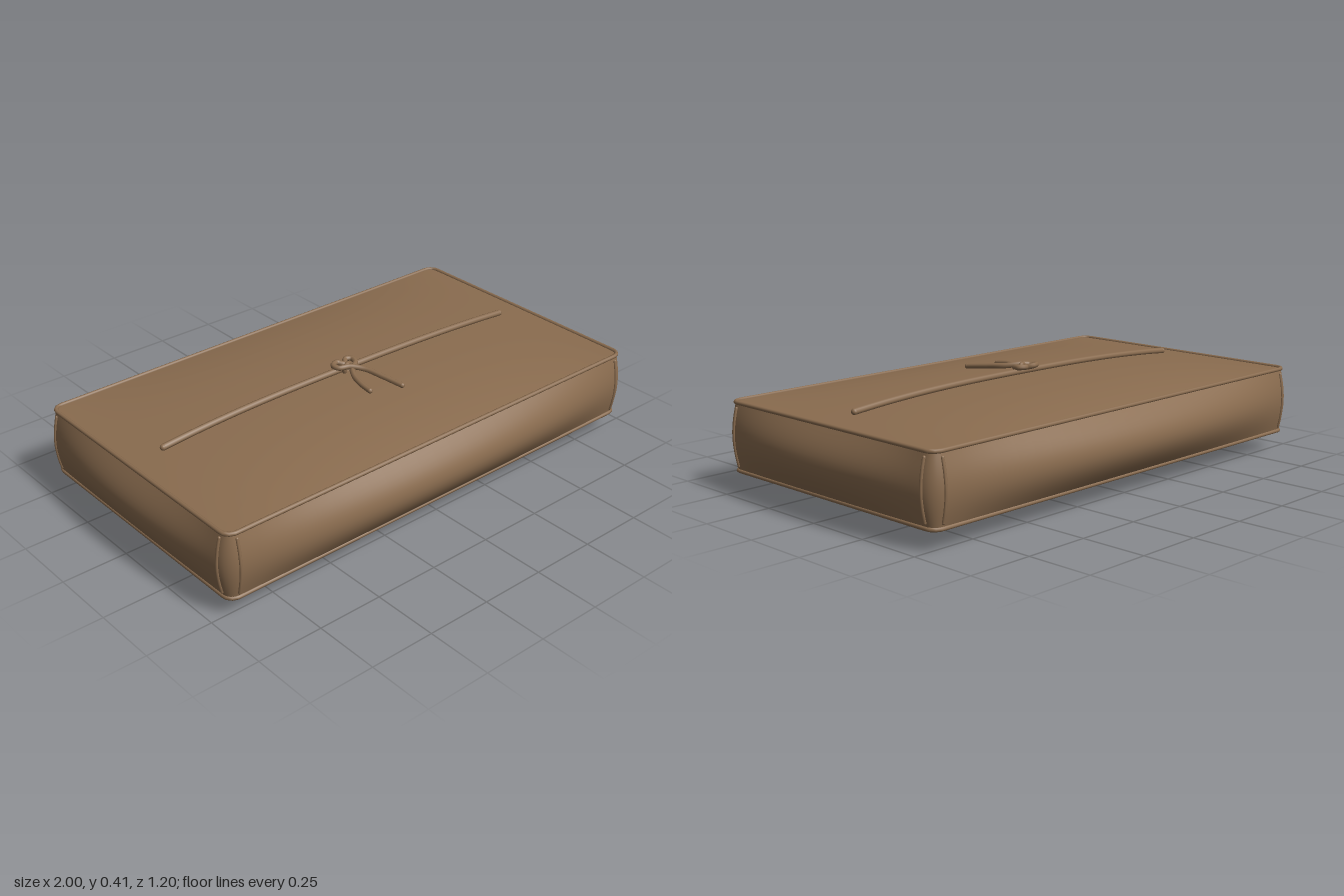
import * as THREE from 'three';

const A = 0.942, B = 0.528, R = 0.035; // half length, half depth and corner radius of the seam
const Y0 = 0.075, Y1 = 0.325; // heights of the lower and upper seams

const crown = (x, z, p) =>
  Math.max(0, 1 - Math.abs(x / A) ** p) * Math.max(0, 1 - Math.abs(z / B) ** p);
const topY = (x, z) => Y1 + 0.042 * crown(x, z, 2.6);
const bottomY = (x, z) => Y0 - 0.075 * crown(x, z, 2);

// Rounded rectangle with outward normals
function outline() {
  const pts = [];
  const corners = [[1, 1], [-1, 1], [-1, -1], [1, -1]];
  corners.forEach(([sx, sz], c) => {
    for (let k = 0; k <= 6; k++) {
      const a = (c + k / 6) * Math.PI / 2;
      const nx = Math.cos(a), nz = Math.sin(a);
      pts.push({ x: sx * (A - R) + R * nx, z: sz * (B - R) + R * nz, nx, nz });
    }
    const last = pts[pts.length - 1], [tx, tz] = corners[(c + 1) % 4];
    const ex = tx * (A - R) + R * last.nx, ez = tz * (B - R) + R * last.nz;
    for (let k = 1; k < 24; k++) {
      const t = k / 24;
      pts.push({ ...last, x: last.x + (ex - last.x) * t, z: last.z + (ez - last.z) * t });
    }
  });
  return pts;
}

// Surface through closed rings of points
function loft(rings, place) {
  const rim = outline(), n = rim.length, pos = [], idx = [];
  for (let i = 0; i <= rings; i++) {
    for (const p of rim) pos.push(...place(p, i / rings));
    if (i === rings) break;
    for (let j = 0; j < n; j++) {
      const a = i * n + j, b = i * n + (j + 1) % n;
      idx.push(a, a + n, b, b, a + n, b + n);
    }
  }
  const g = new THREE.BufferGeometry();
  g.setAttribute('position', new THREE.Float32BufferAttribute(pos, 3));
  g.setIndex(idx);
  g.computeVertexNormals();
  return g;
}

// Bulging side wall
function wallPoint(p, v) {
  const s = Math.sin(Math.PI * v);
  const d = s * (0.015 + 0.043 * Math.abs(p.nx) * (1 - (p.z / B) ** 2)
    + 0.055 * Math.abs(p.nz) * (1 - (p.x / A) ** 2));
  return [p.x + p.nx * d, Y0 + (Y1 - Y0) * v, p.z + p.nz * d];
}

export function createModel() {
  const group = new THREE.Group();
  const leather = new THREE.MeshStandardMaterial({ color: 0x8a6c4f });
  leather.name = 'brown leather';

  const add = (name, geometry, parent = group) => {
    const mesh = new THREE.Mesh(geometry, leather);
    mesh.name = name;
    parent.add(mesh);
    return mesh;
  };
  const tube = (name, pts, radius, closed = false, segments = 60, parent = group) => {
    const curve = new THREE.CatmullRomCurve3(pts.map(p => new THREE.Vector3(...p)), closed);
    add(name, new THREE.TubeGeometry(curve, segments, radius, 8, closed), parent);
    if (!closed) for (const p of [pts[0], pts[pts.length - 1]])
      add(name + 'End', new THREE.SphereGeometry(radius, 10, 8), parent).position.set(...p);
  };

  // Cushion panels
  add('sidePanels', loft(16, wallPoint));
  add('topPanel', loft(24, (p, v) => {
    const x = p.x * (1 - v), z = p.z * (1 - v);
    return [x, topY(x, z), z];
  }));
  add('bottomPanel', loft(24, (p, v) => {
    const x = p.x * v, z = p.z * v;
    return [x, bottomY(x, z), z];
  }));

  // Piping round the top and bottom edges
  for (const [name, y] of [['topPiping', Y1], ['bottomPiping', Y0]])
    tube(name, outline().map(p => [p.x, y, p.z]), 0.008, true, 320);

  // Paired upright seams at each corner
  const rim = outline();
  for (let c = 0; c < 4; c++) for (const k of [0, 6]) {
    const p = rim[c * 30 + k];
    const pts = [0.08, 0.25, 0.5, 0.75, 0.92].map(v => wallPoint(p, v));
    tube('cornerSeam', pts, 0.006, false, 16);
  }

  // Cord lying across the top
  const tie = new THREE.Group();
  tie.name = 'tie';
  group.add(tie);
  const cord = [];
  for (let i = 0; i <= 16; i++) {
    const x = -0.81 + 1.62 * i / 16, z = -0.004 + 0.01 * Math.sin(x * 2.2);
    cord.push([x, topY(x, z) + 0.009, z]);
  }
  tube('cord', cord, 0.012, false, 80, tie);

  // Knot with two loose tails: x, height above the cushion, z
  const strand = [
    [-0.045, 0.01, 0.185], [-0.042, 0.014, 0.13], [-0.025, 0.015, 0.075], [0.005, 0.018, 0.03],
    [0.038, 0.024, 0.008], [0.043, 0.028, -0.018], [0.02, 0.028, -0.029], [0, 0.022, -0.01],
    [-0.02, 0.028, -0.029], [-0.048, 0.028, -0.018], [-0.042, 0.026, 0.008], [-0.005, 0.028, 0.028],
    [0.032, 0.022, 0.07], [0.052, 0.016, 0.14], [0.073, 0.01, 0.228],
  ].map(([x, h, z]) => [x, topY(x, z) + h, z]);
  tube('knotAndTails', strand, 0.0105, false, 120, tie);
  const wrap = add('knotWrap', new THREE.TorusGeometry(0.018, 0.009, 8, 20), tie);
  wrap.position.set(-0.003, topY(0, 0) + 0.014, 0.008);
  wrap.rotation.set(0.15, 0.35, 0);

  return group;
}
